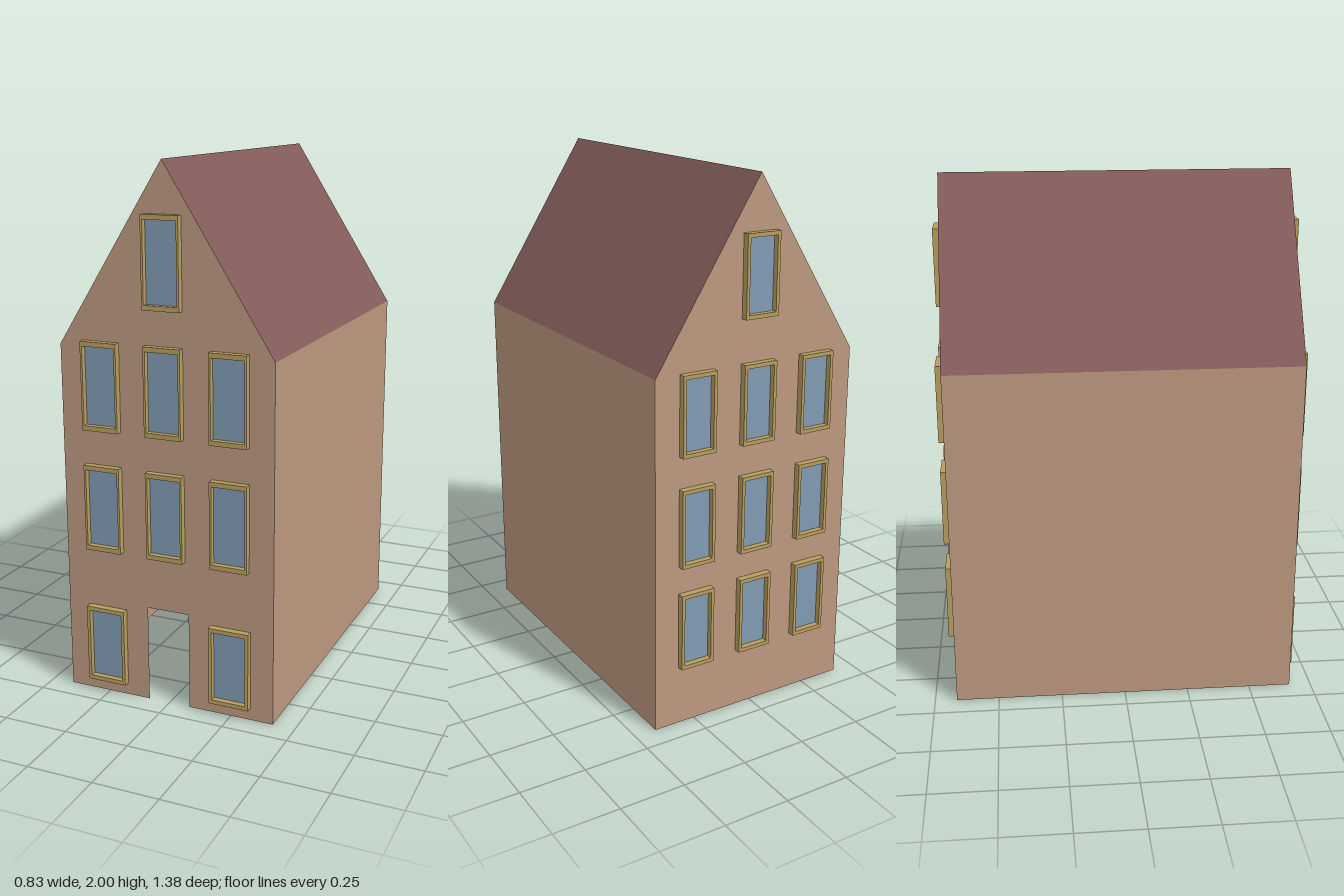
import * as THREE from 'three';

const W = 0.415, D = 0.665, EAVES = 1.34, RIDGE = 2, FRAME_DEPTH = 0.026;

function material(name, color, side = THREE.FrontSide) {
  const m = new THREE.MeshStandardMaterial({ color, side });
  m.name = name;
  return m;
}

function add(parent, name, geometry, mat) {
  const mesh = new THREE.Mesh(geometry, mat);
  mesh.name = name;
  parent.add(mesh);
  return mesh;
}

const outline = (points) => points.map(([x, y]) => new THREE.Vector2(x, y));
const rect = (x0, y0, x1, y1) => outline([[x0, y0], [x1, y0], [x1, y1], [x0, y1]]);

export function createModel() {
  const house = new THREE.Group();
  house.name = 'gabledHouse';
  // The hollow shell is seen from inside through the doorway and open base
  const wall = material('wallTan', 0xbd997f, THREE.DoubleSide);
  const roof = material('roofMaroon', 0x855d5b, THREE.DoubleSide);
  const trim = material('frameOchre', 0xb89e5f);
  const glass = material('glassBlue', 0x7f9bb4);

  // Gable walls; the front one has an open doorway
  const gable = [[W, 0], [W, EAVES], [0, RIDGE], [-W, EAVES], [-W, 0]];
  const doorway = [[-0.083, 0], [-0.083, 0.37], [0.083, 0.37], [0.083, 0]];
  const front = add(house, 'frontWall',
    new THREE.ShapeGeometry(new THREE.Shape(outline([...gable, ...doorway]))), wall);
  front.position.z = D;
  const back = add(house, 'backWall',
    new THREE.ShapeGeometry(new THREE.Shape(outline(gable))), wall);
  back.position.z = -D;
  back.rotation.y = Math.PI;

  // Side walls and roof slopes
  const slopeLength = Math.hypot(W, RIDGE - EAVES);
  for (const s of [1, -1]) {
    const label = s > 0 ? 'left' : 'right';
    const side = add(house, label + 'Wall', new THREE.PlaneGeometry(2 * D, EAVES), wall);
    side.position.set(s * W, EAVES / 2, 0);
    side.rotation.y = s * Math.PI / 2;

    const slope = new THREE.PlaneGeometry(2 * D, slopeLength);
    slope.rotateX(-Math.atan2(W, RIDGE - EAVES));
    slope.rotateY(s * Math.PI / 2);
    const slopeMesh = add(house, label + 'Roof', slope, roof);
    slopeMesh.position.set(s * W / 2, (EAVES + RIDGE) / 2, 0);
  }

  // Window: a projecting frame around a recessed pane
  function addWindow(parent, x, y0, y1, width, jamb, rail) {
    const win = new THREE.Group();
    win.name = 'window';
    win.position.set(x, (y0 + y1) / 2, D);
    const hw = width / 2, hh = (y1 - y0) / 2;
    const shape = new THREE.Shape(rect(-hw, -hh, hw, hh));
    shape.holes.push(new THREE.Path(rect(-hw + jamb, -hh + rail, hw - jamb, hh - rail)));
    add(win, 'windowFrame',
      new THREE.ExtrudeGeometry(shape, { depth: FRAME_DEPTH, bevelEnabled: false }), trim);
    const pane = add(win, 'windowPane',
      new THREE.PlaneGeometry(width - 2 * jamb, 2 * (hh - rail)), glass);
    pane.position.z = 0.004;
    parent.add(win);
  }

  const frontWindows = new THREE.Group();
  frontWindows.name = 'frontWindows';
  const backWindows = new THREE.Group();
  backWindows.name = 'backWindows';
  backWindows.rotation.y = Math.PI;
  house.add(frontWindows, backWindows);

  // Front: two beside the door, two rows of three, one in the gable
  for (const x of [-0.25, 0.25]) addWindow(frontWindows, x, 0.047, 0.345, 0.155, 0.012, 0.016);
  for (const x of [-0.25, 0, 0.25]) {
    addWindow(frontWindows, x, 0.573, 0.9, 0.143, 0.008, 0.018);
    addWindow(frontWindows, x, 1.032, 1.36, 0.143, 0.008, 0.018);
  }
  addWindow(frontWindows, 0, 1.488, 1.817, 0.143, 0.008, 0.018);

  // Back: three rows of three and one in the gable
  for (const y of [0.23, 0.632, 1.048]) {
    for (const x of [-0.25, 0, 0.25]) addWindow(backWindows, x, y, y + 0.297, 0.136, 0.012, 0.015);
  }
  addWindow(backWindows, 0, 1.505, 1.802, 0.136, 0.012, 0.015);

  return house;
}
